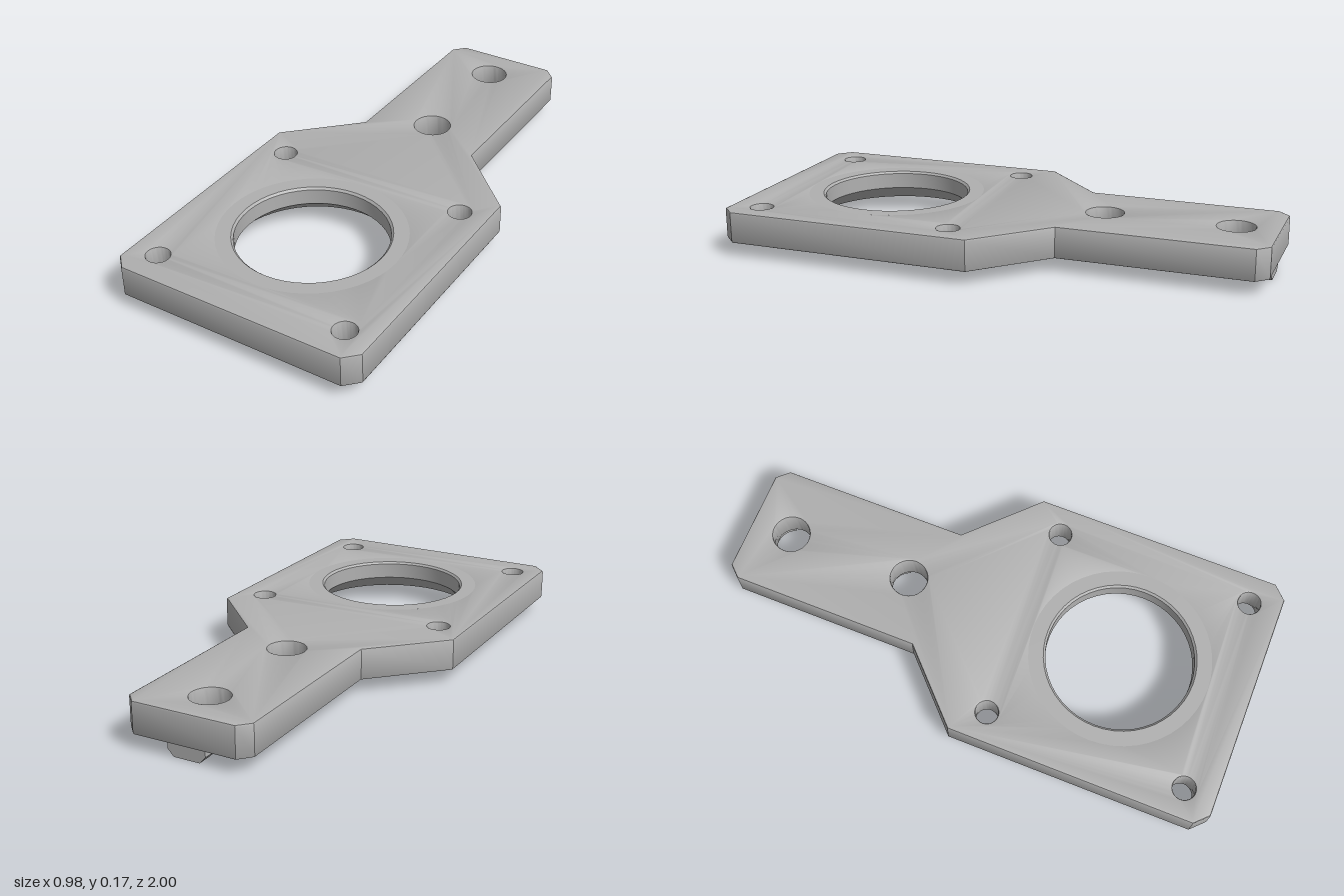
import * as THREE from 'three';
import { toCreasedNormals } from 'three/addons/utils/BufferGeometryUtils.js';

const BOTTOM = 0.051, TOP = 0.172, BEVEL = 0.008;
const BORE = { z: 0.5, r: 0.277, sink: 0.333, sinkTop: 0.104 };
const SLOT_HOLES = [-0.35, -0.84];

// Outline with all holes, drawn as x and z
function plateGeometry() {
  const half = [[0.44, 1], [0.49, 0.95], [0.49, 0.01], [0.24, -0.235], [0.24, -0.955], [0.198, -1]];
  const outline = [...half, ...half.map(([x, z]) => [-x, z]).reverse()];
  const shape = new THREE.Shape(outline.map(([x, z]) => new THREE.Vector2(x, z)));
  const hole = (x, z, r) => shape.holes.push(new THREE.Path().absarc(x, z, r, 0, Math.PI * 2));
  hole(0, BORE.z, BORE.sink);
  for (const z of SLOT_HOLES) hole(0, z, 0.07);
  for (const x of [-0.38, 0.38]) for (const z of [0.12, 0.88]) hole(x, z, 0.042);
  const geo = new THREE.ExtrudeGeometry(shape, {
    depth: TOP - BOTTOM - 2 * BEVEL, curveSegments: 24,
    bevelSize: BEVEL, bevelThickness: BEVEL, bevelOffset: -BEVEL, bevelSegments: 2,
  });
  geo.rotateX(Math.PI / 2).translate(0, TOP - BEVEL, 0);
  return toCreasedNormals(geo, 0.5);
}

// Wall of the large bore, with a wide countersink underneath
function boreGeometry() {
  const rim = BORE.sink + BEVEL;
  const profile = [
    [rim, TOP], [BORE.r + BEVEL, TOP], [BORE.r, TOP - BEVEL],
    [BORE.r, BORE.sinkTop], [BORE.sink, BOTTOM], [rim, BOTTOM],
  ].map(([x, y]) => new THREE.Vector2(x, y));
  const geo = new THREE.LatheGeometry(profile, 48).translate(0, 0, BORE.z);
  return toCreasedNormals(geo, 0.5);
}

// One rail block; each end is flat, or scooped out round a hole centre
function railGeometry(front, back) {
  const N = 16, pos = [];
  const levels = [
    { y: 0, w: 0.05, r: 0.107 },
    { y: 0.025, w: 0.073, r: 0.08 },
    { y: BOTTOM, w: 0.073, r: 0.08 },
  ];
  const endZ = (end, x, r, sign) => end.z + (end.round ? sign * Math.sqrt(r * r - x * x) : 0);
  const loops = levels.map(({ y, w, r }) => {
    const xs = Array.from({ length: N + 1 }, (_, i) => -w + (2 * w * i) / N);
    return [
      ...xs.map(x => [x, y, endZ(front, x, r, -1)]),
      ...xs.map(x => [x, y, endZ(back, x, r, 1)]).reverse(),
    ];
  });
  const quad = (a, b, c, d) => pos.push(...a, ...b, ...c, ...a, ...c, ...d);
  const count = 2 * N + 2;
  for (let k = 0; k < 2; k++) {
    for (let i = 0; i < count; i++) {
      const j = (i + 1) % count;
      quad(loops[k][i], loops[k][j], loops[k + 1][j], loops[k + 1][i]);
    }
  }
  const base = loops[0];
  for (let i = 0; i < N; i++) quad(base[i], base[count - 1 - i], base[count - 2 - i], base[i + 1]);
  const geo = new THREE.BufferGeometry();
  geo.setAttribute('position', new THREE.Float32BufferAttribute(pos, 3));
  return toCreasedNormals(geo, 0.5);
}

export function createModel() {
  const model = new THREE.Group();
  model.name = 'mountingPlate';
  const grey = new THREE.MeshStandardMaterial({ color: 0xb0b0b0 });
  grey.name = 'grey';
  const add = (name, geo) => {
    const mesh = new THREE.Mesh(geo, grey);
    mesh.name = name;
    model.add(mesh);
  };

  add('plate', plateGeometry());
  add('boreWall', boreGeometry());

  // Locating rail under the tab, interrupted by the two holes
  const ends = [
    { z: -0.192 },
    ...SLOT_HOLES.map(z => ({ z, round: true })),
    { z: -0.985 },
  ];
  ['railFront', 'railMiddle', 'railBack'].forEach((name, i) => add(name, railGeometry(ends[i], ends[i + 1])));
  return model;
}
